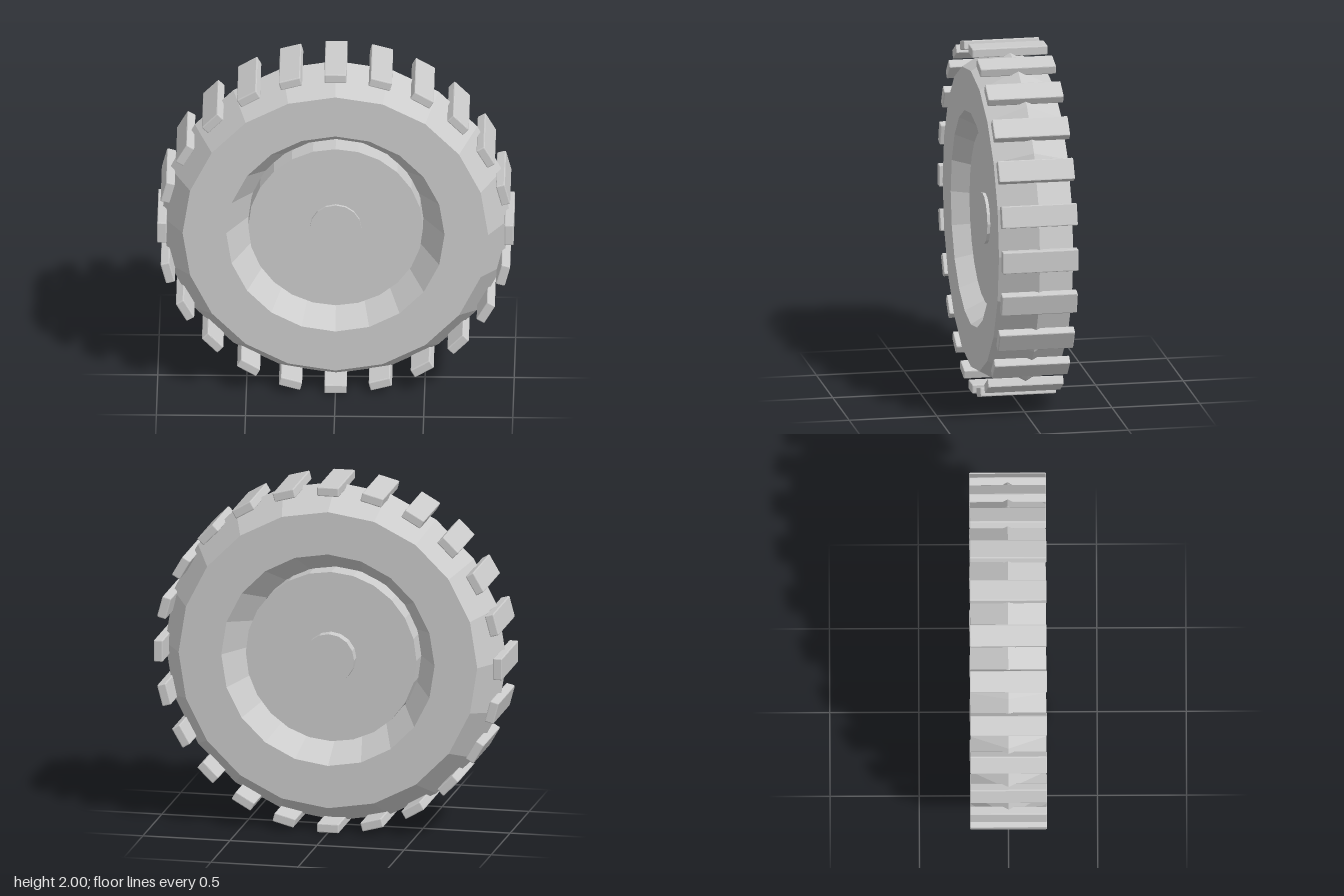
import * as THREE from 'three';
import { RoundedBoxGeometry } from 'three/addons/geometries/RoundedBoxGeometry.js';

export function createModel() {
  const model = new THREE.Group();
  model.name = 'wheel';
  const material = new THREE.MeshStandardMaterial({ color: 0xcccccc, flatShading: true });

  const add = (name, geometry, parent = model) => {
    const mesh = new THREE.Mesh(geometry, material);
    mesh.name = name;
    parent.add(mesh);
    return mesh;
  };

  // Cylinder lying along z between two depths
  const disc = (name, radius, back, front, sides) => {
    const geometry = new THREE.CylinderGeometry(radius, radius, front - back, sides);
    geometry.rotateX(Math.PI / 2).translate(0, 1, (front + back) / 2);
    return add(name, geometry);
  };

  // Tyre: a low-poly ring with a hexagonal cross-section
  add('tyre', new THREE.TorusGeometry(0.735, 0.245, 6, 20)).position.y = 1;

  // Recessed hub disc and the axle through it, longer at the back
  disc('hub', 0.49, -0.128, 0.128, 24);
  disc('axle', 0.145, -0.19, 0.145, 16);

  // Tread blocks with slightly chamfered edges
  const treads = new THREE.Group();
  treads.name = 'treads';
  treads.position.y = 1;
  model.add(treads);
  const block = new RoundedBoxGeometry(0.125, 0.052, 0.432, 1, 0.006);
  const count = 24;
  for (let i = 0; i < count; i++) {
    const angle = (i / count) * Math.PI * 2;
    const tread = add('treadBlock', block, treads);
    tread.position.set(-Math.sin(angle) * 0.974, Math.cos(angle) * 0.974, 0);
    tread.rotation.z = angle;
  }

  return model;
}
